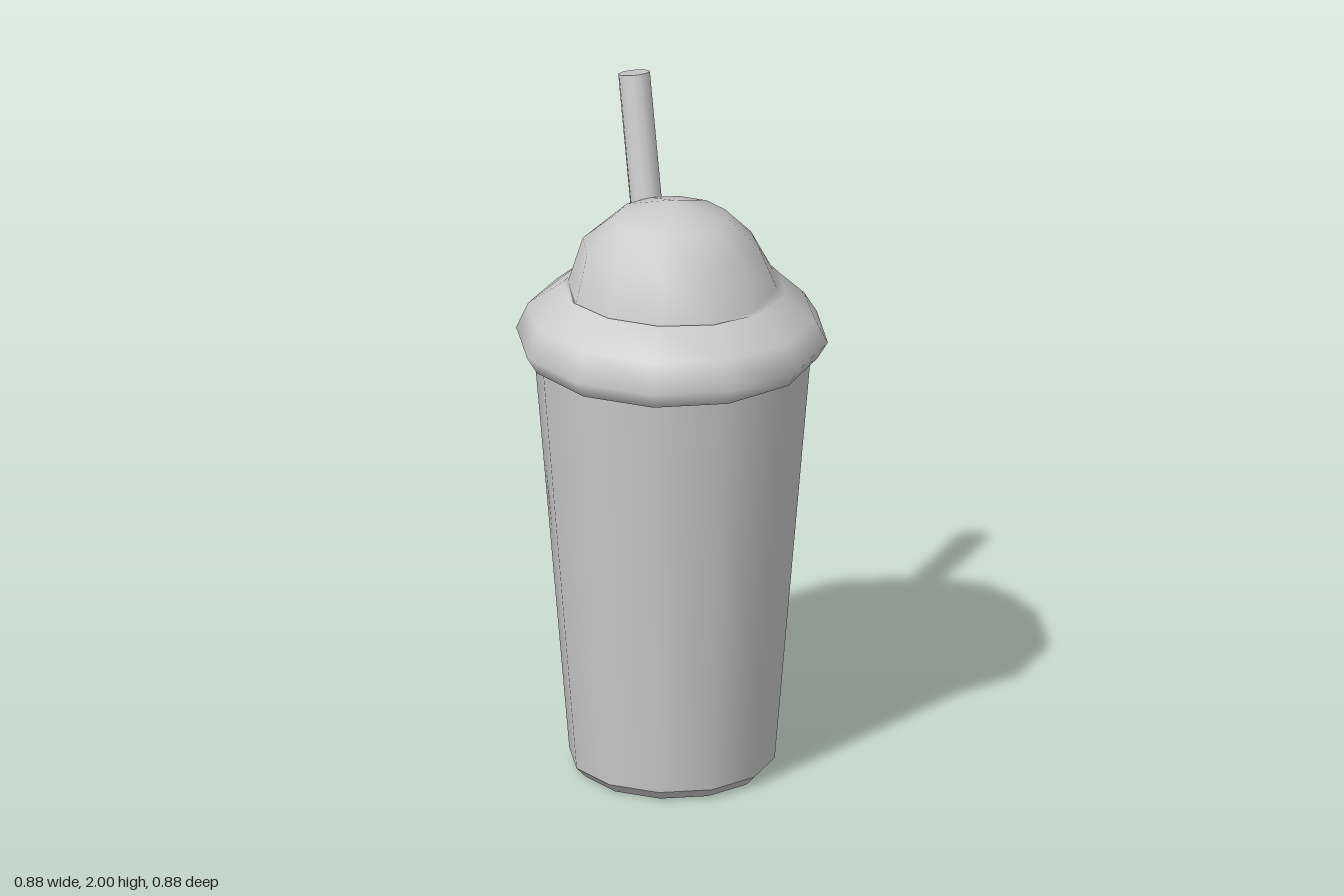
import * as THREE from 'three';
import { mergeVertices } from 'three/addons/utils/BufferGeometryUtils.js';

const SIDES = 12;
const material = new THREE.MeshStandardMaterial({ color: 0xcccccc });

function addMesh(group, name, geometry) {
  const mesh = new THREE.Mesh(geometry, material);
  mesh.name = name;
  group.add(mesh);
  return mesh;
}

const toPoints = (pairs) => pairs.map(([r, y]) => new THREE.Vector2(r, y));

// Whipped topping: a slope on the back left that blends into a stepped scoop on the front right
function createTopping() {
  const slope = [[0.37, 1.255], [0.41, 1.25], [0.44, 1.30], [0.40, 1.36], [0.335, 1.43],
    [0.30, 1.47], [0.235, 1.575], [0.16, 1.655], [0, 1.71]];
  const step = [[0.37, 1.255], [0.41, 1.25], [0.44, 1.30], [0.41, 1.385], [0.295, 1.45],
    [0.29, 1.435], [0.262, 1.585], [0.16, 1.66], [0, 1.71]];
  const lathe = new THREE.LatheGeometry(toPoints(slope), SIDES);
  const pos = lathe.attributes.position;
  for (let i = 0; i < pos.count; i++) {
    const ring = i % slope.length;
    const angle = Math.floor(i / slope.length) / SIDES * Math.PI * 2;
    // Weight is 1 towards (-x, +z) and 0 on the opposite side
    const w = 0.5 + 0.5 * Math.cos(angle + Math.PI / 4);
    const r = THREE.MathUtils.lerp(slope[ring][0], step[ring][0], w);
    const y = THREE.MathUtils.lerp(slope[ring][1], step[ring][1], w);
    pos.setXYZ(i, Math.sin(angle) * r, y, Math.cos(angle) * r);
  }
  lathe.deleteAttribute('normal');
  lathe.deleteAttribute('uv');
  const geometry = mergeVertices(lathe, 1e-4);
  geometry.computeVertexNormals();
  return geometry;
}

export function createModel() {
  const group = new THREE.Group();
  group.name = 'milkshake';

  // Tapered cup; the repeated profile point keeps the base edge sharp
  const cupProfile = [[0, 0], [0.262, 0], [0.262, 0], [0.29, 0.03], [0.29, 0.03], [0.392, 1.26]];
  addMesh(group, 'cup', new THREE.LatheGeometry(toPoints(cupProfile), SIDES));

  addMesh(group, 'topping', createTopping());

  // Straw leaning backwards out of the topping
  const top = new THREE.Vector3(0, 1.99, -0.275);
  const bottom = new THREE.Vector3(0, 1.4, -0.132);
  const axis = top.clone().sub(bottom);
  const straw = addMesh(group, 'straw', new THREE.CylinderGeometry(0.045, 0.045, axis.length(), SIDES));
  straw.position.copy(top).add(bottom).multiplyScalar(0.5);
  straw.quaternion.setFromUnitVectors(new THREE.Vector3(0, 1, 0), axis.normalize());

  return group;
}
